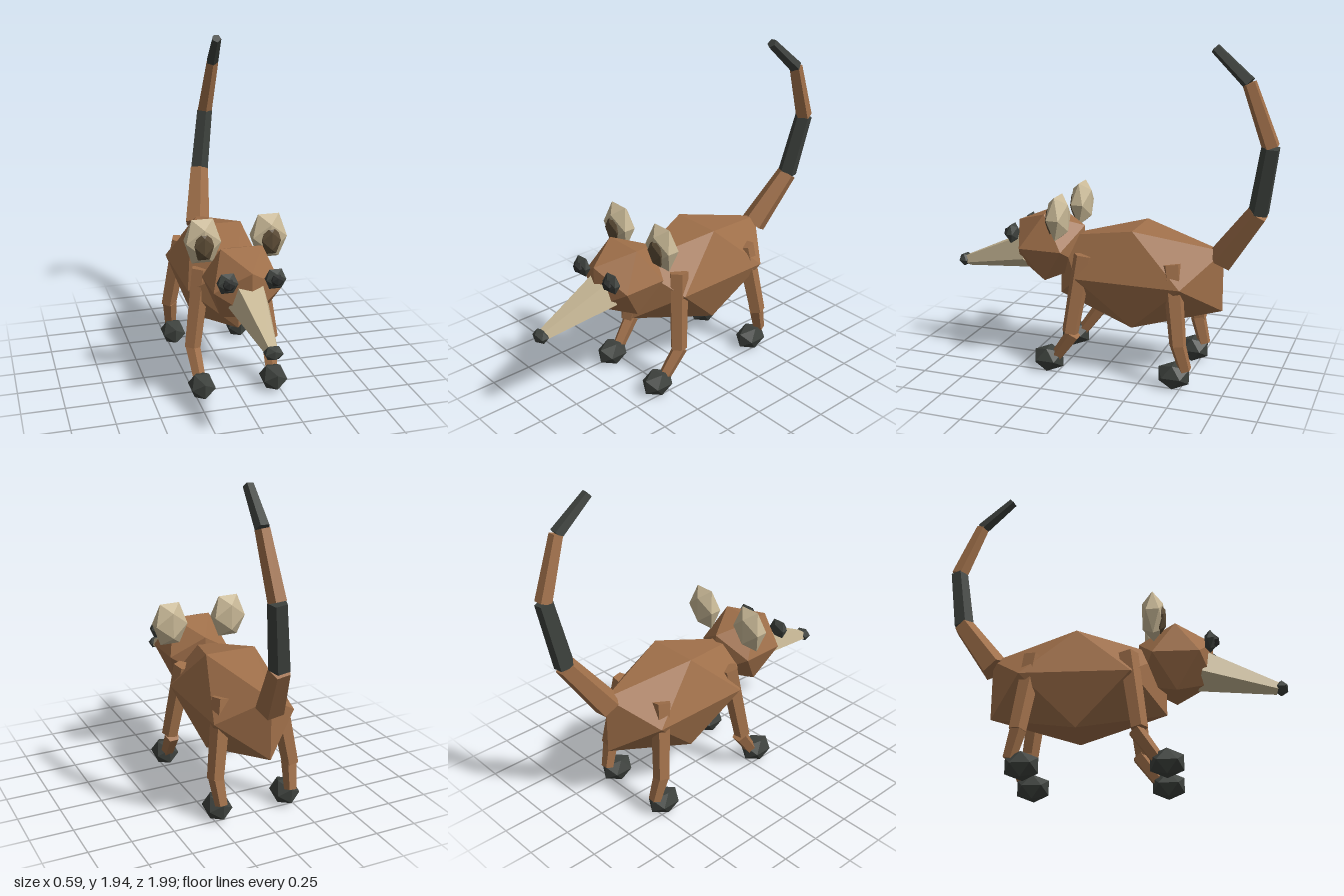
import * as THREE from 'three';

export function createModel() {
  const mat = (name, color) => {
    const m = new THREE.MeshStandardMaterial({ color });
    m.name = name;
    return m;
  };
  const fur = mat('brown fur', 0xa0704a);
  const cream = mat('cream', 0xc8b896);
  const dark = mat('charcoal', 0x3d413d);
  const pupilMat = mat('black', 0x2b2d2c);
  const innerEarMat = mat('inner ear', 0x5c4c36);

  const model = new THREE.Group();
  model.name = 'animal';

  // faceted blob: half-extents are measured across the icosahedron's vertices
  const blob = (name, material, [x, y, z], [hx, hy, hz]) => {
    const geo = new THREE.IcosahedronGeometry(1 / 0.8507, 0);
    geo.scale(hx, hy, hz);
    geo.computeVertexNormals();
    const mesh = new THREE.Mesh(geo, material);
    mesh.name = name;
    mesh.position.set(x, y, z);
    model.add(mesh);
  };

  // five-sided tapered limb from point a to point b
  const limb = (name, material, a, b, ra, rb) => {
    const from = new THREE.Vector3(...a), to = new THREE.Vector3(...b);
    const dir = to.clone().sub(from);
    const geo = new THREE.CylinderGeometry(rb, ra, dir.length(), 5).toNonIndexed();
    geo.computeVertexNormals();
    const mesh = new THREE.Mesh(geo, material);
    mesh.name = name;
    mesh.position.copy(from).add(to).multiplyScalar(0.5);
    mesh.quaternion.setFromUnitVectors(new THREE.Vector3(0, 1, 0), dir.normalize());
    model.add(mesh);
  };

  // body and head
  blob('body', fur, [0, 0.59, -0.18], [0.25, 0.29, 0.5]);
  blob('head', fur, [0, 0.72, 0.378], [0.195, 0.203, 0.213]);

  // snout and nose
  limb('snout', cream, [0, 0.667, 0.53], [0, 0.553, 0.945], 0.12, 0.037);
  blob('nose', dark, [0, 0.555, 0.963], [0.048, 0.036, 0.036]);

  for (const [side, s] of [['left', 1], ['right', -1]]) {
    // eyes
    blob(side + 'Eye', dark, [s * 0.135, 0.797, 0.572], [0.056, 0.056, 0.03]);
    blob(side + 'Pupil', pupilMat, [s * 0.135, 0.797, 0.598], [0.032, 0.032, 0.025]);

    // ears
    blob(side + 'Ear', cream, [s * 0.193, 0.935, 0.255], [0.1, 0.128, 0.06]);
    blob(side + 'InnerEar', innerEarMat, [s * 0.195, 0.92, 0.295], [0.055, 0.083, 0.033]);

    // front legs
    limb(side + 'FrontUpperLeg', fur, [s * 0.238, 0.255, 0.17], [s * 0.168, 0.715, 0.11], 0.05, 0.06);
    limb(side + 'FrontLowerLeg', fur, [s * 0.22, 0.09, 0.265], [s * 0.232, 0.25, 0.15], 0.038, 0.046);
    blob(side + 'FrontPaw', dark, [s * 0.217, 0.07, 0.315], [0.07, 0.07, 0.09]);

    // back legs
    limb(side + 'BackUpperLeg', fur, [s * 0.238, 0.26, -0.485], [s * 0.168, 0.715, -0.42], 0.05, 0.06);
    limb(side + 'BackLowerLeg', fur, [s * 0.22, 0.11, -0.525], [s * 0.232, 0.27, -0.48], 0.038, 0.048);
    blob(side + 'BackPaw', dark, [s * 0.217, 0.07, -0.457], [0.07, 0.07, 0.09]);
  }

  // banded tail, each segment narrower than the last
  const tail = [[0, 0.72, -0.667], [0.07, 1.03, -0.885], [0.125, 1.41, -0.948], [0.148, 1.75, -0.825], [0.128, 1.925, -0.632]];
  const radii = [[0.083, 0.062], [0.06, 0.053], [0.051, 0.041], [0.04, 0.03]];
  radii.forEach(([ra, rb], i) =>
    limb('tailSegment' + (i + 1), i % 2 ? dark : fur, tail[i], tail[i + 1], ra, rb));

  return model;
}
